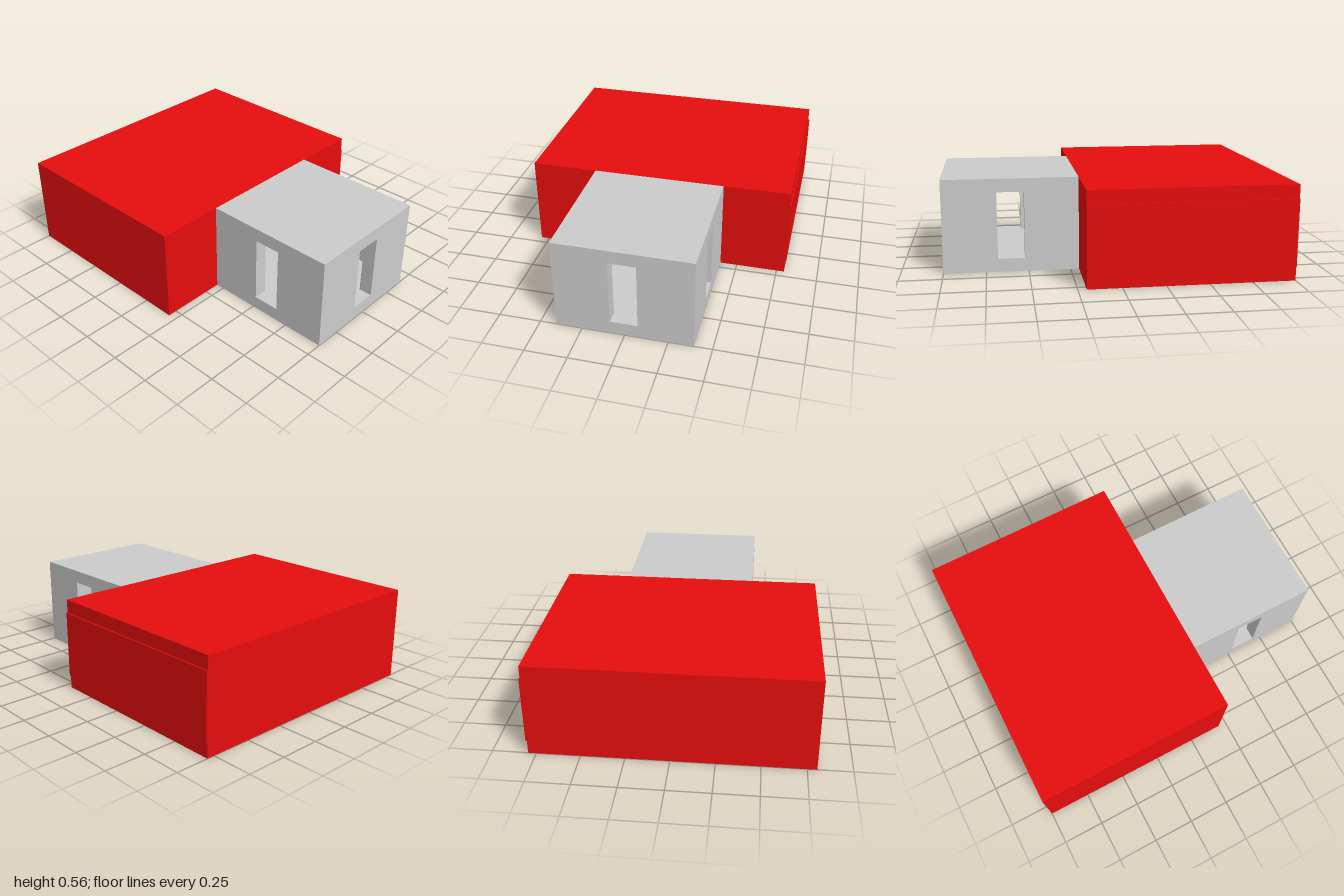
import * as THREE from 'three';

const H = 0.56, WALL = 0.08, SIDE = 0.8;
const grey = new THREE.MeshStandardMaterial({ color: 0xcccccc, flatShading: true });
const red = new THREE.MeshStandardMaterial({ color: 0xe60d0d, flatShading: true });

function box(name, material, w, h, d, x, y, z) {
  const mesh = new THREE.Mesh(new THREE.BoxGeometry(w, h, d), material);
  mesh.name = name;
  mesh.position.set(x, y, z);
  return mesh;
}

// Upright wall with a tall central slot, standing on y = 0 and centred on its own origin
function slottedWall(name, width) {
  const shape = new THREE.Shape([
    new THREE.Vector2(-width / 2, 0), new THREE.Vector2(width / 2, 0),
    new THREE.Vector2(width / 2, H), new THREE.Vector2(-width / 2, H),
  ]);
  shape.holes.push(new THREE.Path([
    new THREE.Vector2(-0.08, 0.08), new THREE.Vector2(-0.08, 0.48),
    new THREE.Vector2(0.08, 0.48), new THREE.Vector2(0.08, 0.08),
  ]));
  const geometry = new THREE.ExtrudeGeometry(shape, { depth: WALL, bevelEnabled: false });
  geometry.translate(0, 0, -WALL / 2);
  const mesh = new THREE.Mesh(geometry, grey);
  mesh.name = name;
  return mesh;
}

export function createModel() {
  const model = new THREE.Group();
  model.name = 'building';

  // Main hall with a slightly raised panel across its back
  const hall = new THREE.Group();
  hall.name = 'mainHall';
  hall.add(box('hallBody', red, 1.2, H, 1.6, -0.4, H / 2, 0.004));
  hall.add(box('backPanel', red, 1.2, 0.4, 0.016, -0.4, H / 2, -0.796));
  model.add(hall);

  // Hollow annex: four slotted walls, floor and ceiling
  const annex = new THREE.Group();
  annex.name = 'annex';
  annex.position.set(0.6, 0, 0.004);
  const offset = (SIDE - WALL) / 2, inner = SIDE - 2 * WALL;
  for (const s of [1, -1]) {
    const wall = slottedWall(s > 0 ? 'frontWall' : 'backWall', SIDE);
    wall.position.z = s * offset;
    const side = slottedWall(s > 0 ? 'outerWall' : 'doorWall', inner);
    side.rotation.y = Math.PI / 2;
    side.position.x = s * offset;
    annex.add(wall, side);
    // Red lining on both sides of the doorway into the hall
    annex.add(box('doorJamb', red, WALL - 0.002, 0.4, 0.002, -offset, H / 2, s * 0.0795));
  }
  annex.add(box('floor', grey, inner, WALL, inner, 0, WALL / 2, 0));
  annex.add(box('roof', grey, inner, WALL, inner, 0, H - WALL / 2, 0));
  model.add(annex);

  return model;
}
